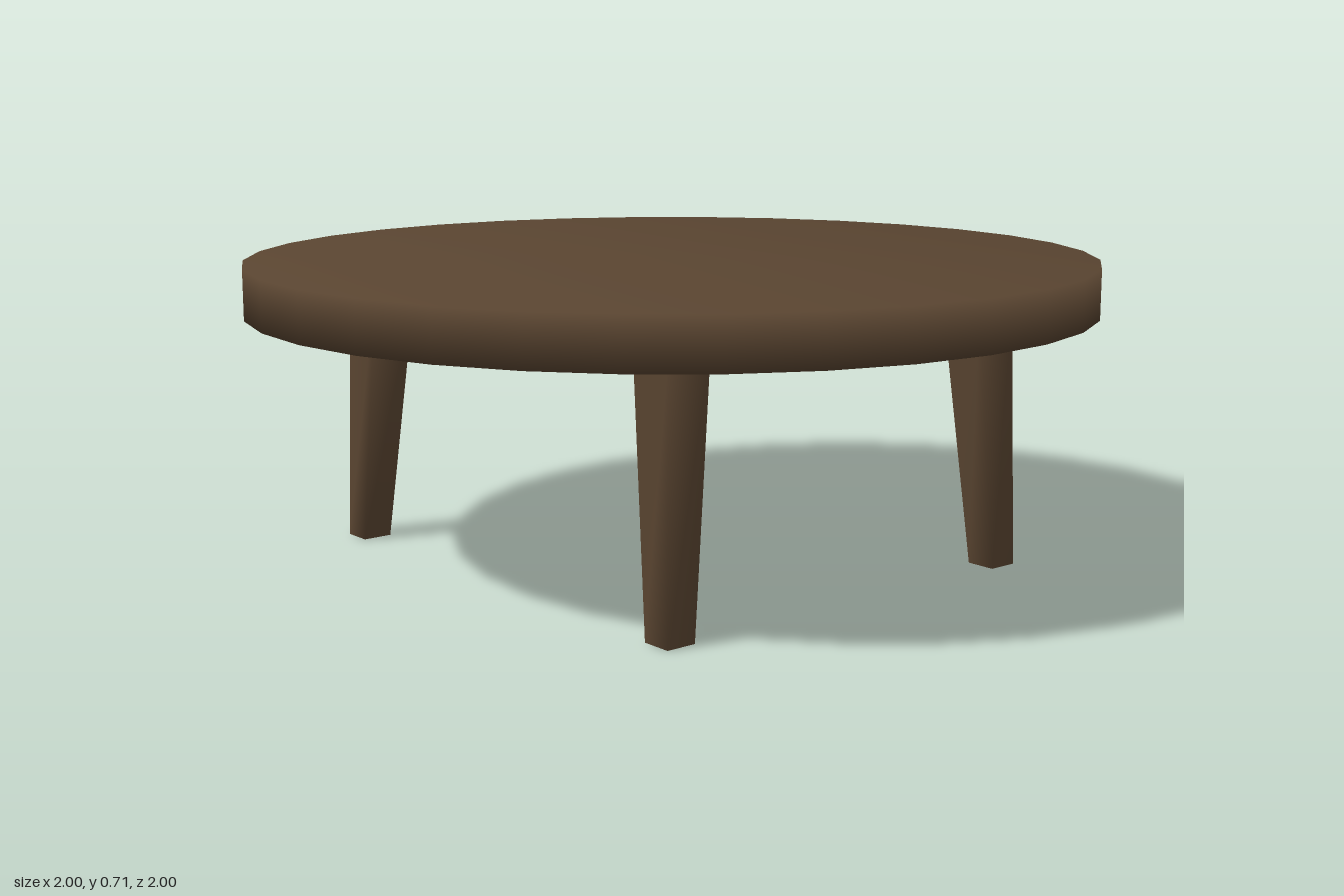
import * as THREE from 'three';
import { mergeVertices } from 'three/addons/utils/BufferGeometryUtils.js';

const wood = new THREE.MeshStandardMaterial({ color: 0x5a4531 });

// Share vertices so the shading runs softly over every edge
function soften(geometry) {
  geometry.deleteAttribute('uv');
  geometry.deleteAttribute('normal');
  const merged = mergeVertices(geometry, 1e-4);
  merged.computeVertexNormals();
  return merged;
}

// Square leg that tapers and splays outward towards the foot
function legGeometry(sx, sz) {
  const bottom = 0, top = 0.605;
  const g = new THREE.BoxGeometry(1, 1, 1);
  const p = g.attributes.position;
  for (let i = 0; i < p.count; i++) {
    const t = p.getY(i) + 0.5;
    const width = THREE.MathUtils.lerp(0.073, 0.112, t);
    const cx = THREE.MathUtils.lerp(0.588, 0.554, t) * sx;
    const cz = THREE.MathUtils.lerp(0.493, 0.46, t) * sz;
    p.setXYZ(i, cx + p.getX(i) * width, THREE.MathUtils.lerp(bottom, top, t), cz + p.getZ(i) * width);
  }
  return soften(g);
}

export function createModel() {
  const table = new THREE.Group();
  table.name = 'roundTable';

  // Round top
  const top = new THREE.Mesh(soften(new THREE.CylinderGeometry(1, 1, 0.115, 32)), wood);
  top.name = 'tableTop';
  top.position.y = 0.6575;
  table.add(top);

  // Four legs
  for (const [sx, xName] of [[1, 'Left'], [-1, 'Right']]) {
    for (const [sz, zName] of [[1, 'front'], [-1, 'back']]) {
      const leg = new THREE.Mesh(legGeometry(sx, sz), wood);
      leg.name = `${zName}${xName}Leg`;
      table.add(leg);
    }
  }
  return table;
}
